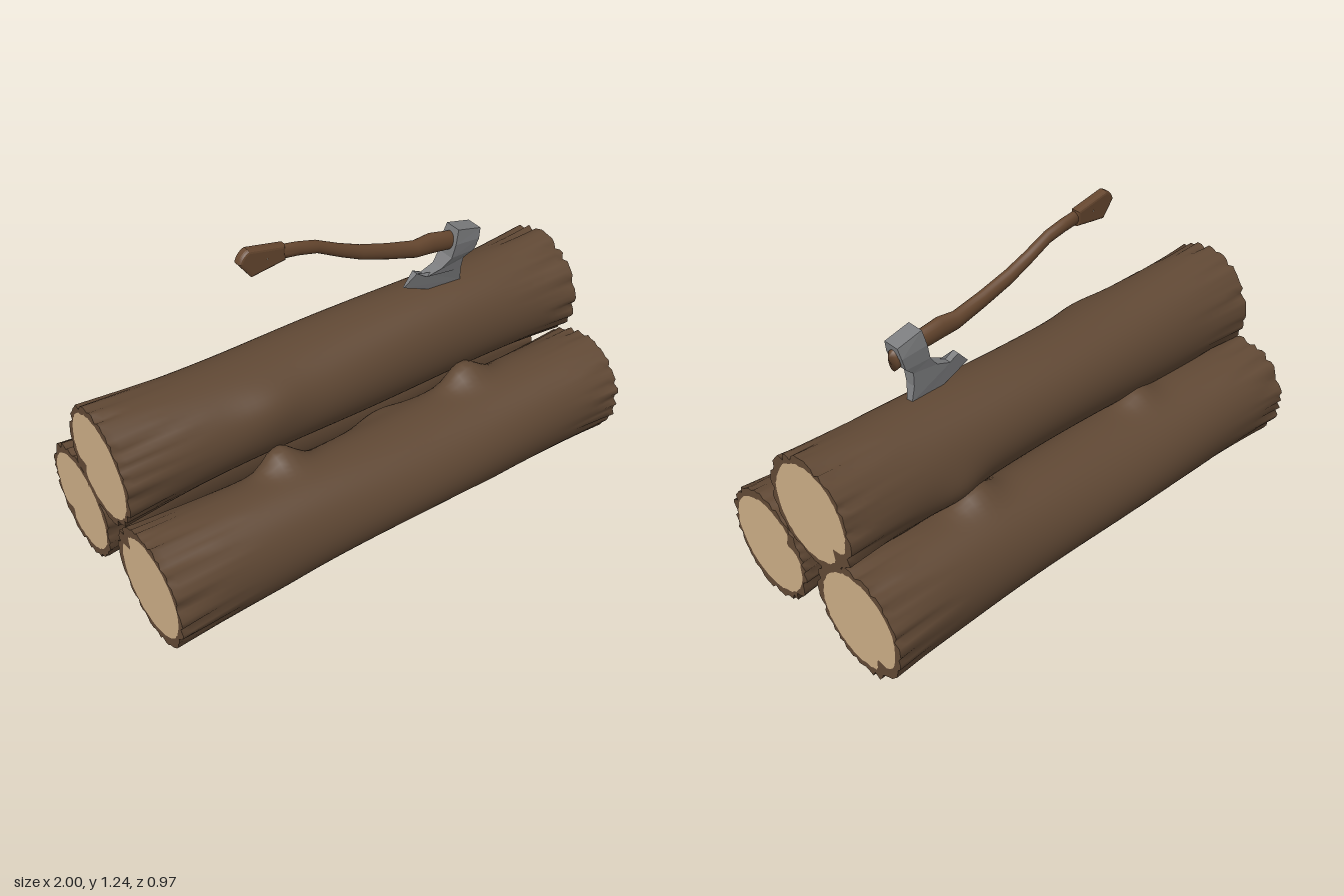
import * as THREE from 'three';

const material = (name, color, side = THREE.FrontSide) => {
  const m = new THREE.MeshStandardMaterial({ color, side });
  m.name = name;
  return m;
};

// Repeatable noise in 0..1
const hash = (n) => {
  const s = Math.sin(n * 127.1 + 11.7) * 43758.5453;
  return s - Math.floor(s);
};

// Skin through closed rings of equal point count, optionally capped at both ends
function loft(rings, capped = false, flat = false) {
  const n = rings[0].length, pos = rings.flat(2), index = [];
  for (let i = 0; i < rings.length - 1; i++) {
    for (let j = 0; j < n; j++) {
      const k = (j + 1) % n, a = i * n + j, b = a + n, c = i * n + k, d = c + n;
      index.push(a, b, c, b, d, c);
    }
  }
  if (capped) {
    const last = (rings.length - 1) * n;
    for (let j = 1; j < n - 1; j++) index.push(0, j, j + 1, last, last + j + 1, last + j);
  }
  let g = new THREE.BufferGeometry();
  g.setAttribute('position', new THREE.Float32BufferAttribute(pos, 3));
  g.setIndex(index);
  if (flat) g = g.toNonIndexed();
  g.computeVertexNormals();
  return g;
}

const addMesh = (group, name, geometry, mat) => {
  const m = new THREE.Mesh(geometry, mat);
  m.name = name;
  group.add(m);
};

const SIDES = 72;
const wrap = (a) => Math.atan2(Math.sin(a), Math.cos(a));
const bell = (d, w) => Math.exp(-(d * d) / (w * w));

// Log along x: flared, split ends, gentle waves and swollen knots
function makeLog({ name, y, z, seed, knots, notch }, bark, wood) {
  const group = new THREE.Group();
  group.name = name;
  group.position.set(0, y, z);

  const radius = (x, j) => {
    const a = (j / SIDES) * Math.PI * 2;
    let r = 0.2 + 0.018 * Math.abs(x) ** 3;
    r += 0.004 * Math.sin(x * 5 + seed + 2 * a) + 0.003 * Math.sin(3 * a + seed * 2 - x * 3);
    const key = seed * 100 + j + (x > 0 ? 500 : 0);
    const reach = 0.08 + 0.28 * hash(key + 0.5);
    const fade = Math.max(0, 1 - (1 - Math.abs(x)) / reach);
    r += (0.007 - 0.026 * hash(key) ** 2) * fade;
    for (const [kx, ka, amp, wx, wa] of knots) r += amp * bell(x - kx, wx) * bell(wrap(a - ka), wa);
    return r;
  };
  const ring = (x, fn) => Array.from({ length: SIDES }, (_, j) => {
    const a = (j / SIDES) * Math.PI * 2, r = fn(j, a);
    return [x, r * Math.sin(a), r * Math.cos(a)];
  });

  const steps = 60, body = [];
  for (let i = 0; i <= steps; i++) {
    const x = -1 + (2 * i) / steps;
    body.push(ring(x, (j) => radius(x, j)));
  }
  addMesh(group, 'bark', loft(body), bark);

  // Sawn ends: bark rim around a pale, uneven face
  for (const x of [-1, 1]) {
    const inner = (j, a) => Math.min(radius(x, j) - 0.006,
      0.191 + 0.006 * Math.sin(2 * a + seed) + 0.007 * (hash(seed * 31 + j + x) - 0.5)
      - 0.045 * bell(wrap(a - notch), 0.14));
    const order = (list) => (x > 0 ? list : list.reverse());
    const edge = ring(x, inner);
    addMesh(group, 'barkRim', loft(order([ring(x, (j) => radius(x, j)), edge])), bark);
    addMesh(group, 'cutFace', loft(order([edge, ring(x, () => 0.0005)])), wood);
  }
  return group;
}

function makeAxe(handleMat, steel) {
  const axe = new THREE.Group();
  axe.name = 'axe';

  // Curved handle: x, y, half height, half width, z
  const stations = [
    [-0.285, 1.177, 0.028, 0.018, 0.004], [-0.2, 1.163, 0.026, 0.02, 0.006],
    [-0.125, 1.144, 0.025, 0.021, 0.008], [-0.03, 1.095, 0.027, 0.022, 0.01],
    [0.06, 1.054, 0.03, 0.023, 0.012], [0.18, 1.014, 0.032, 0.024, 0.015],
    [0.3, 0.98, 0.035, 0.026, 0.018], [0.37, 0.98, 0.042, 0.028, 0.02],
    [0.46, 0.965, 0.038, 0.027, 0.024], [0.573, 0.935, 0.042, 0.025, 0.027],
  ];
  const rings = stations.map(([x, y, h, w, z]) => Array.from({ length: 20 }, (_, j) => {
    const a = (j / 20) * Math.PI * 2;
    return [x, y + h * Math.sin(a), z + w * Math.cos(a)];
  }));
  addMesh(axe, 'handle', loft(rings, true), handleMat);

  // Flared grip end with a lanyard hole
  const outline = new THREE.Shape();
  outline.moveTo(-0.44, 1.192);
  outline.quadraticCurveTo(-0.43, 1.225, -0.4, 1.236);
  outline.lineTo(-0.255, 1.205);
  outline.lineTo(-0.255, 1.144);
  outline.quadraticCurveTo(-0.32, 1.135, -0.392, 1.126);
  outline.closePath();
  outline.holes.push(new THREE.Path().absarc(-0.333, 1.181, 0.009, 0, Math.PI * 2, true));
  const knob = new THREE.ExtrudeGeometry(outline, {
    depth: 0.016, bevelThickness: 0.012, bevelSize: 0.012, bevelOffset: -0.012,
    bevelSegments: 3, curveSegments: 8,
  });
  knob.translate(0, 0, -0.004);
  addMesh(axe, 'gripEnd', knob, handleMat);

  // Head from poll to cutting edge: left x, y, right x, y, half thickness, z
  const sections = [
    [0.467, 1.024, 0.573, 0.997, 0.034, 0.03],
    [0.455, 0.965, 0.566, 0.955, 0.042, 0.026],
    [0.445, 0.907, 0.552, 0.907, 0.038, 0.022],
    [0.413, 0.864, 0.517, 0.875, 0.027, 0.016],
    [0.355, 0.843, 0.517, 0.82, 0.021, 0.01],
    [0.317, 0.864, 0.53, 0.76, 0.014, 0.003],
    [0.27, 0.81, 0.54, 0.69, 0.003, -0.002],
  ].map(([lx, ly, rx, ry, t, z]) => [[rx, ry, z + t], [rx, ry, z - t], [lx, ly, z - t], [lx, ly, z + t]]);
  addMesh(axe, 'axeHead', loft(sections, true, true), steel);
  return axe;
}

export function createModel() {
  const bark = material('bark brown', 0x614935);
  const wood = material('cut wood', 0xcbad86);
  const handleMat = material('handle brown', 0x66472f);
  const steel = material('steel grey', 0x7c7d7f, THREE.DoubleSide);

  const model = new THREE.Group();
  model.name = 'logPile';
  // Knots: x, angle from +z toward +y, height, spread along x, angular spread
  const logs = [
    { name: 'frontLog', y: 0.222, z: 0.26, seed: 1, notch: 2.58,
      knots: [[-0.4, 1.98, 0.08, 0.08, 0.3], [0.45, 1.98, 0.075, 0.09, 0.3],
        [-0.55, -1.5, 0.02, 0.1, 0.5], [0.4, -1.2, 0.012, 0.1, 0.4], [0.1, 2.65, 0.03, 0.12, 0.3]] },
    { name: 'backLog', y: 0.222, z: -0.26, seed: 2, notch: -2.27,
      knots: [[0.45, 1.4, 0.055, 0.09, 0.35], [-0.4, 1.3, 0.045, 0.08, 0.35],
        [-0.55, -1.6, 0.02, 0.1, 0.5]] },
    { name: 'topLog', y: 0.557, z: -0.038, seed: 3, notch: -2.54,
      knots: [[-0.4, 0.5, 0.015, 0.12, 0.4], [0.5, -2.8, 0.02, 0.1, 0.4]] },
  ];
  for (const log of logs) model.add(makeLog(log, bark, wood));
  model.add(makeAxe(handleMat, steel));
  return model;
}
